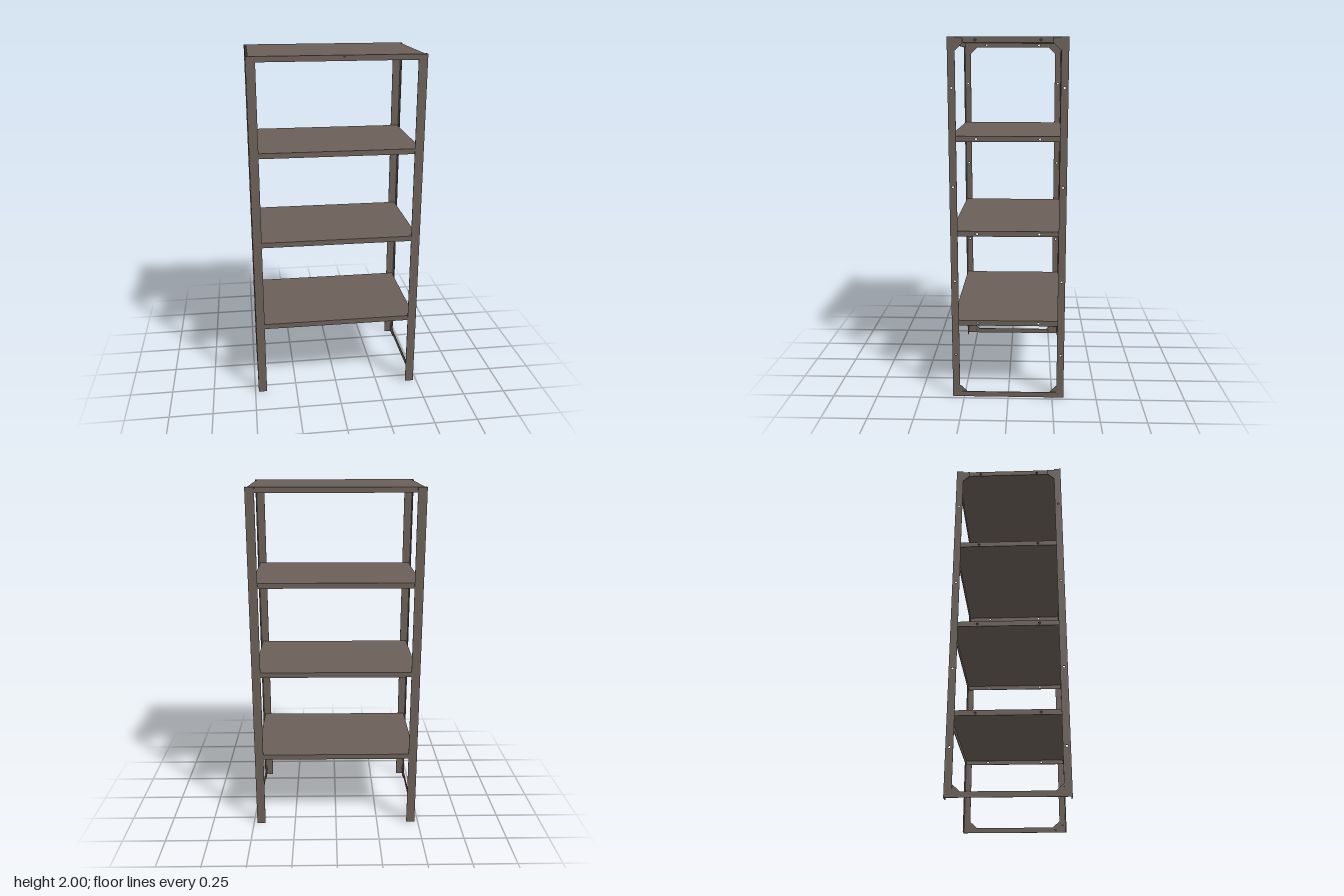
import * as THREE from 'three';

export function createModel() {
  const model = new THREE.Group();
  model.name = 'shelvingUnit';
  const steel = new THREE.MeshStandardMaterial({ color: 0x6b6058 });
  steel.name = 'brown steel';

  const X = 0.48, Z = 0.315, H = 2, T = 0.004; // half width, half depth, height, sheet thickness
  const LEG_X = 0.05, LEG_Z = 0.04, LIP = 0.03, SHELF_X = 0.468;

  const add = (parent, name, geometry) => {
    const mesh = new THREE.Mesh(geometry, steel);
    mesh.name = name;
    parent.add(mesh);
    return mesh;
  };
  const box = (parent, name, w, h, d, x, y, z) =>
    add(parent, name, new THREE.BoxGeometry(w, h, d)).position.set(x, y, z);

  // Sheet lying in the z-y plane, with round holes, spanning x0 to x0 + t
  const sheet = (parent, name, points, holes, x0, t) => {
    const shape = new THREE.Shape(points.map(p => new THREE.Vector2(...p)));
    for (const [z, y] of holes) {
      shape.holes.push(new THREE.Path().absarc(z, y, 0.006, 0, Math.PI * 2, true));
    }
    const g = new THREE.ExtrudeGeometry(shape, { depth: t, bevelEnabled: false, curveSegments: 8 });
    g.rotateY(-Math.PI / 2).translate(x0 + t, 0, 0);
    return add(parent, name, g);
  };

  // Side frames: two legs joined by a bottom rail
  const inner = Z - LEG_Z;
  const frameOutline = [
    [-Z, 0], [Z, 0], [Z, H], [inner, H], [inner, LIP], [-inner, LIP], [-inner, H], [-Z, H],
  ];
  const legHoles = [0.255, 0.687, 1.215, 1.74].flatMap(y => [[-0.295, y], [0.295, y]]);

  for (const s of [-1, 1]) {
    const side = new THREE.Group();
    side.name = s > 0 ? 'leftFrame' : 'rightFrame';
    model.add(side);
    sheet(side, 'sideFrame', frameOutline, legHoles, s > 0 ? X - T : -X, T);

    for (const f of [-1, 1]) {
      // Leg face flange
      box(side, f > 0 ? 'frontLegFlange' : 'backLegFlange',
        LEG_X, H, T, s * (X - LEG_X / 2), H / 2, f * (Z - T / 2));

      // Corner gussets at the bottom and top
      for (const top of [false, true]) {
        const pts = [[0.311, 0.003], [0.235, 0.003], [0.235, 0.03], [0.272, 0.065], [0.311, 0.065]]
          .map(([z, y]) => [f * z, top ? H - 0.002 - y : y]);
        sheet(side, top ? 'topGusset' : 'bottomGusset', pts, [],
          s > 0 ? SHELF_X + 0.003 : -X + T, X - T - SHELF_X - 0.003);
      }

      // Bolts on the bottom gussets
      for (const [z, y] of [[0.25, 0.018], [0.295, 0.048]]) {
        const g = new THREE.CylinderGeometry(0.007, 0.007, 0.006, 6).rotateZ(Math.PI / 2);
        add(side, 'bolt', g).position.set(s * 0.469, y, f * z);
      }
    }
  }

  // Shelves: folded trays, open underneath
  const shelfZ = Z - T;
  [0.455, 0.97, 1.488, 2].forEach((y, i) => {
    const shelf = new THREE.Group();
    shelf.name = 'shelf' + (i + 1);
    shelf.position.y = y;
    model.add(shelf);
    box(shelf, 'shelfPanel', SHELF_X * 2, T, shelfZ * 2, 0, -T / 2, 0);
    const lipOutline = [[-shelfZ, -LIP], [shelfZ, -LIP], [shelfZ, -T], [-shelfZ, -T]];
    for (const s of [-1, 1]) {
      box(shelf, s > 0 ? 'frontLip' : 'backLip',
        SHELF_X * 2, LIP - T, T, 0, -(LIP + T) / 2, s * (shelfZ - T / 2));
      sheet(shelf, s > 0 ? 'leftLip' : 'rightLip', lipOutline,
        [[-0.17, -0.016], [0.17, -0.016]], s > 0 ? SHELF_X - T : -SHELF_X, T);
    }
  });

  // Small blank plate on the top shelf's front lip
  box(model, 'frontPlate', 0.08, 0.015, 0.002, 0, 1.984, shelfZ + 0.001);

  return model;
}
